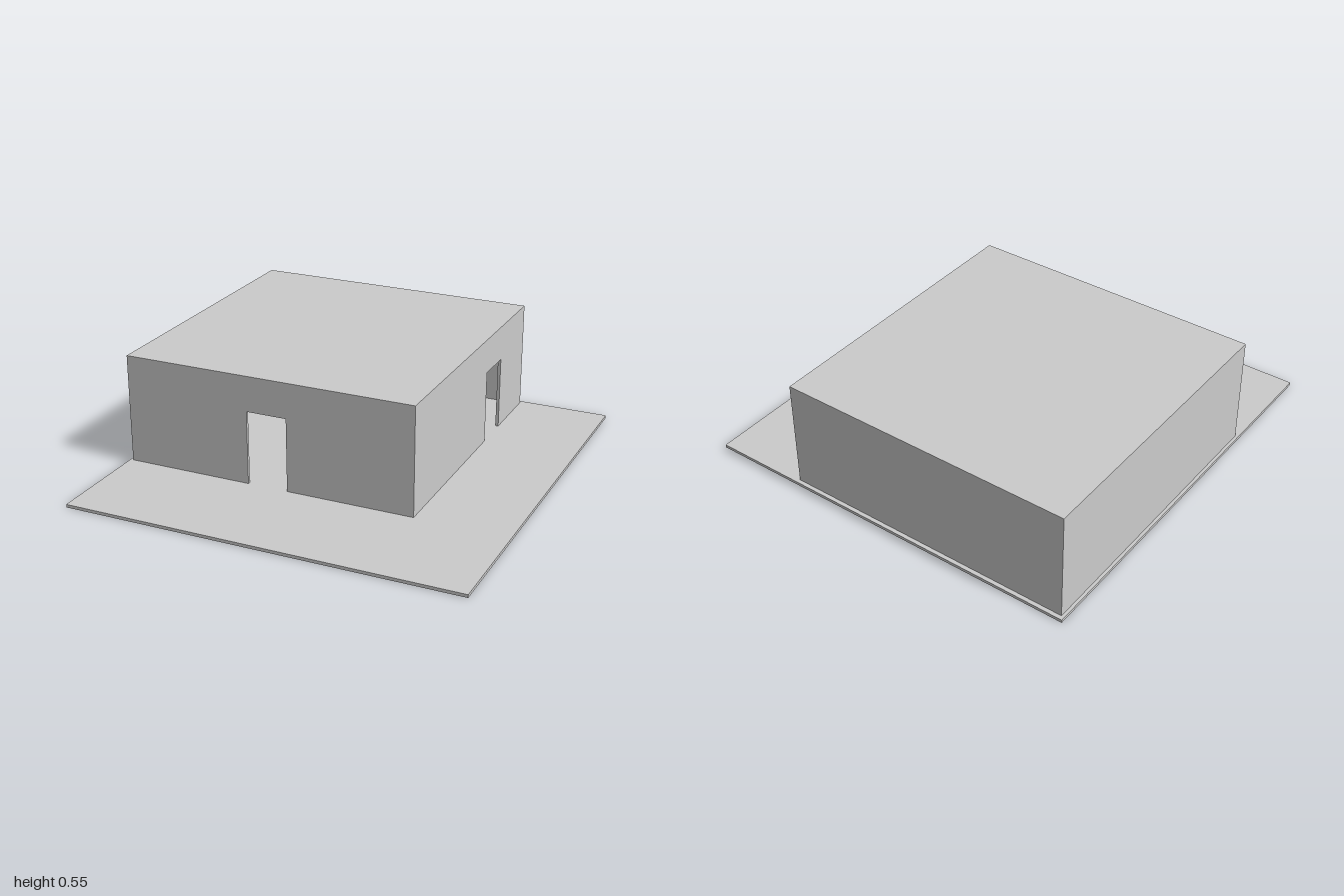
import * as THREE from 'three';

const X0 = -0.945, X1 = 0.505, Z0 = -0.98, Z1 = 0.47; // outer faces of the house
const FLOOR = 0.015, TOP = 0.548, T = 0.015;          // slab top, roof top, wall thickness
const WALL_TOP = TOP - T;
const DOOR_TOP = 0.375;

const material = new THREE.MeshStandardMaterial({ color: 0xcccccc, flatShading: true });

function box(name, x0, x1, y0, y1, z0, z1) {
  const mesh = new THREE.Mesh(new THREE.BoxGeometry(x1 - x0, y1 - y0, z1 - z0), material);
  mesh.position.set((x0 + x1) / 2, (y0 + y1) / 2, (z0 + z1) / 2);
  mesh.name = name;
  return mesh;
}

// Upright wall from a to b with a doorway open to the floor between d0 and d1
function doorWall(name, a, b, d0, d1) {
  const outline = [
    [a, FLOOR], [d0, FLOOR], [d0, DOOR_TOP], [d1, DOOR_TOP],
    [d1, FLOOR], [b, FLOOR], [b, WALL_TOP], [a, WALL_TOP],
  ].map(([x, y]) => new THREE.Vector2(x, y));
  const geometry = new THREE.ExtrudeGeometry(new THREE.Shape(outline), { depth: T, bevelEnabled: false });
  const mesh = new THREE.Mesh(geometry, material);
  mesh.name = name;
  return mesh;
}

export function createModel() {
  const model = new THREE.Group();
  model.name = 'house';

  // Ground slab
  model.add(box('groundSlab', -0.96, 0.96, 0, FLOOR, -1, 1));

  // Plain back and right walls
  model.add(box('backWall', X0, X1, FLOOR, WALL_TOP, Z0, Z0 + T));
  model.add(box('rightWall', X0, X0 + T, FLOOR, WALL_TOP, Z0 + T, Z1 - T));

  // Front wall with doorway
  const front = doorWall('frontWall', X0, X1, -0.32, -0.12);
  front.position.z = Z1 - T;
  model.add(front);

  // Left wall with doorway; the outline runs along -z after the turn
  const left = doorWall('leftWall', -(Z1 - T), -(Z0 + T), 0.44, 0.64);
  left.rotation.y = Math.PI / 2;
  left.position.x = X1 - T;
  model.add(left);

  // Flat roof
  model.add(box('roof', X0, X1, WALL_TOP, TOP, Z0, Z1));

  return model;
}
